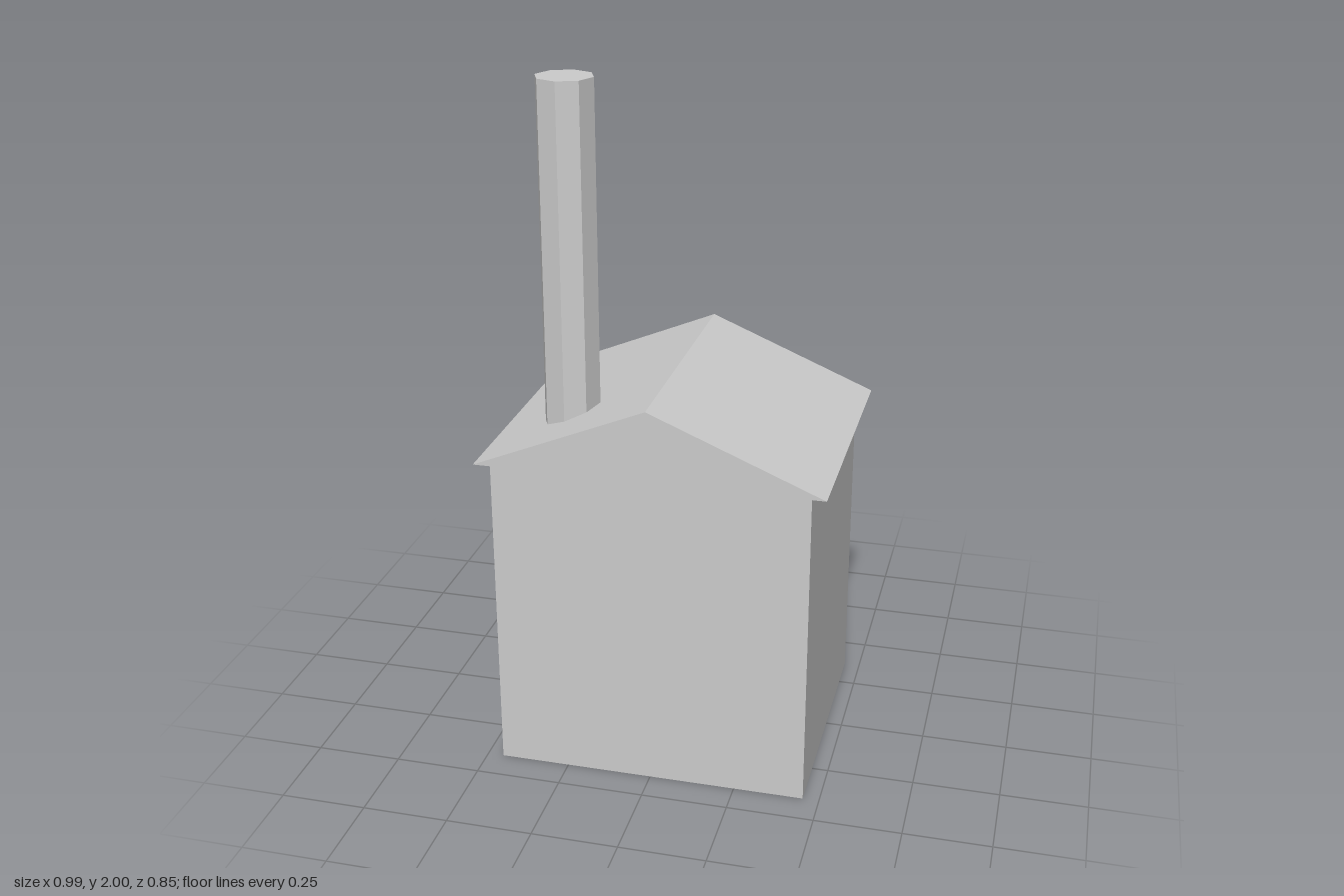
import * as THREE from 'three';

export function createModel() {
  const model = new THREE.Group();
  const paleGrey = new THREE.MeshStandardMaterial({ color: 0xcccccc });
  paleGrey.name = 'paleGrey';

  const add = (name, geometry, x, y, z) => {
    const mesh = new THREE.Mesh(geometry, paleGrey);
    mesh.name = name;
    mesh.position.set(x, y, z);
    model.add(mesh);
  };

  const eaves = 0.955, ridge = 1.161;

  // Square hut body
  add('walls', new THREE.BoxGeometry(0.906, eaves, 0.771), 0, eaves / 2, 0.0195);

  // Gabled roof, overhanging the walls slightly
  const gable = new THREE.Shape([
    new THREE.Vector2(-0.496, eaves),
    new THREE.Vector2(0.496, eaves),
    new THREE.Vector2(0, ridge),
  ]);
  add('roof', new THREE.ExtrudeGeometry(gable, { depth: 0.819, bevelEnabled: false }), 0, 0, -0.395);

  // Tall eight-sided chimney rising through the roof slope
  const chimneyBase = 0.96;
  const chimney = new THREE.CylinderGeometry(0.082, 0.082, 2 - chimneyBase, 8).toNonIndexed();
  chimney.computeVertexNormals();
  add('chimney', chimney, -0.274, (2 + chimneyBase) / 2, 0.197);

  // Raised door slab on the back wall
  add('door', new THREE.BoxGeometry(0.332, 0.466, 0.07), 0, 0.233, -0.393);

  return model;
}
